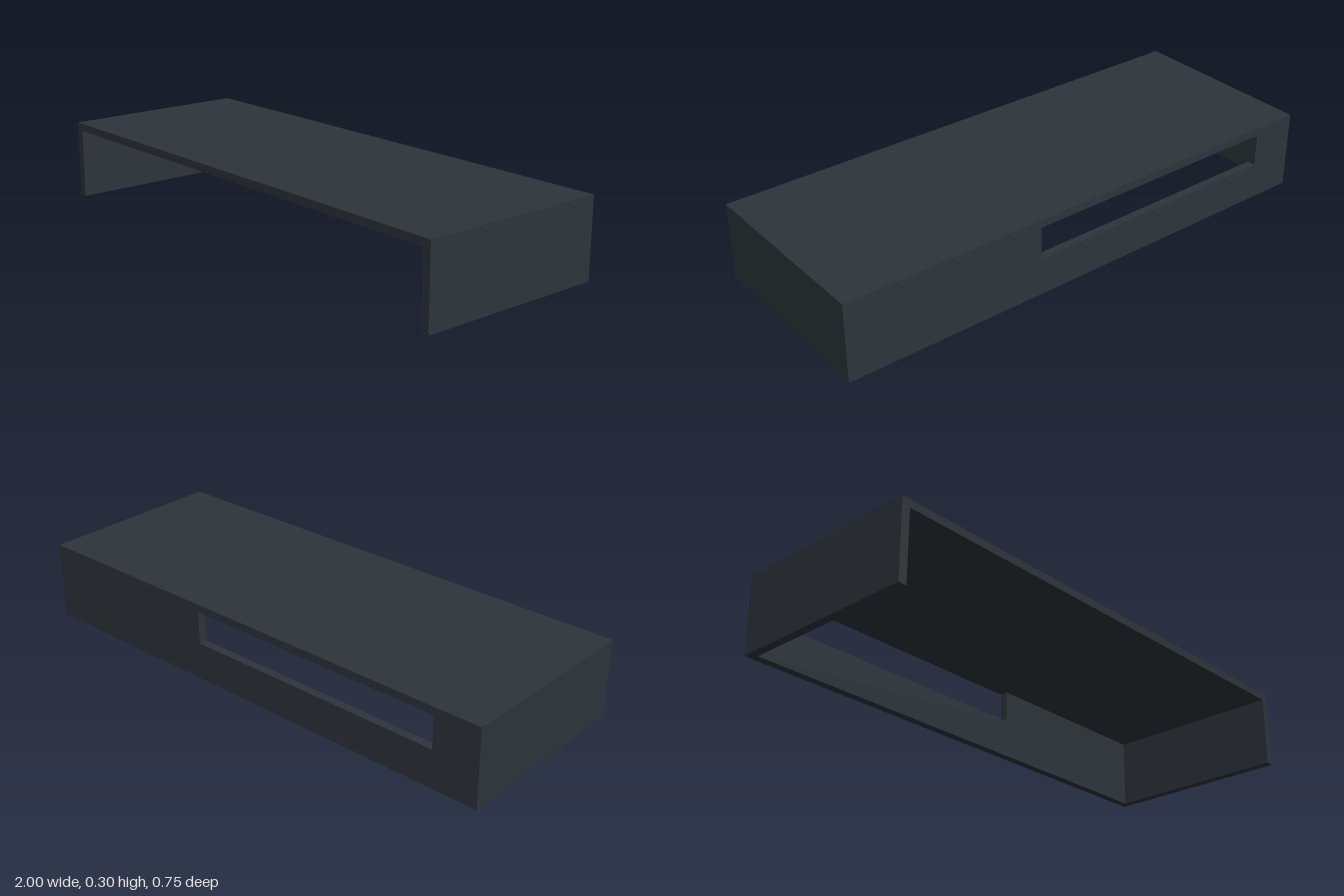
import * as THREE from 'three';

export function createModel() {
  const group = new THREE.Group();
  group.name = 'monitorRiser';
  const slate = new THREE.MeshStandardMaterial({ color: 0x2d343a });
  slate.name = 'slate';

  const W = 2, H = 0.3, D = 0.746, T = 0.032, TOP = 0.03;
  const under = H - TOP;

  const add = (name, geometry, x, y, z) => {
    const mesh = new THREE.Mesh(geometry, slate);
    mesh.name = name;
    mesh.position.set(x, y, z);
    group.add(mesh);
  };

  // Top board
  add('topBoard', new THREE.BoxGeometry(W, TOP, D), 0, H - TOP / 2, 0);

  // Side boards under the top
  for (const [name, s] of [['leftSide', 1], ['rightSide', -1]]) {
    add(name, new THREE.BoxGeometry(T, under, D), s * (W - T) / 2, under / 2, 0);
  }

  // Back board between the sides, notched along its upper edge for cables
  const inner = W / 2 - T, slotLeft = -0.82, slotRight = 0.225, slotBottom = 0.145;
  const outline = new THREE.Shape([
    [-inner, 0], [inner, 0], [inner, under], [slotRight, under],
    [slotRight, slotBottom], [slotLeft, slotBottom], [slotLeft, under], [-inner, under],
  ].map(([x, y]) => new THREE.Vector2(x, y)));
  add('backBoard', new THREE.ExtrudeGeometry(outline, { depth: T, bevelEnabled: false }), 0, 0, -D / 2);

  return group;
}
